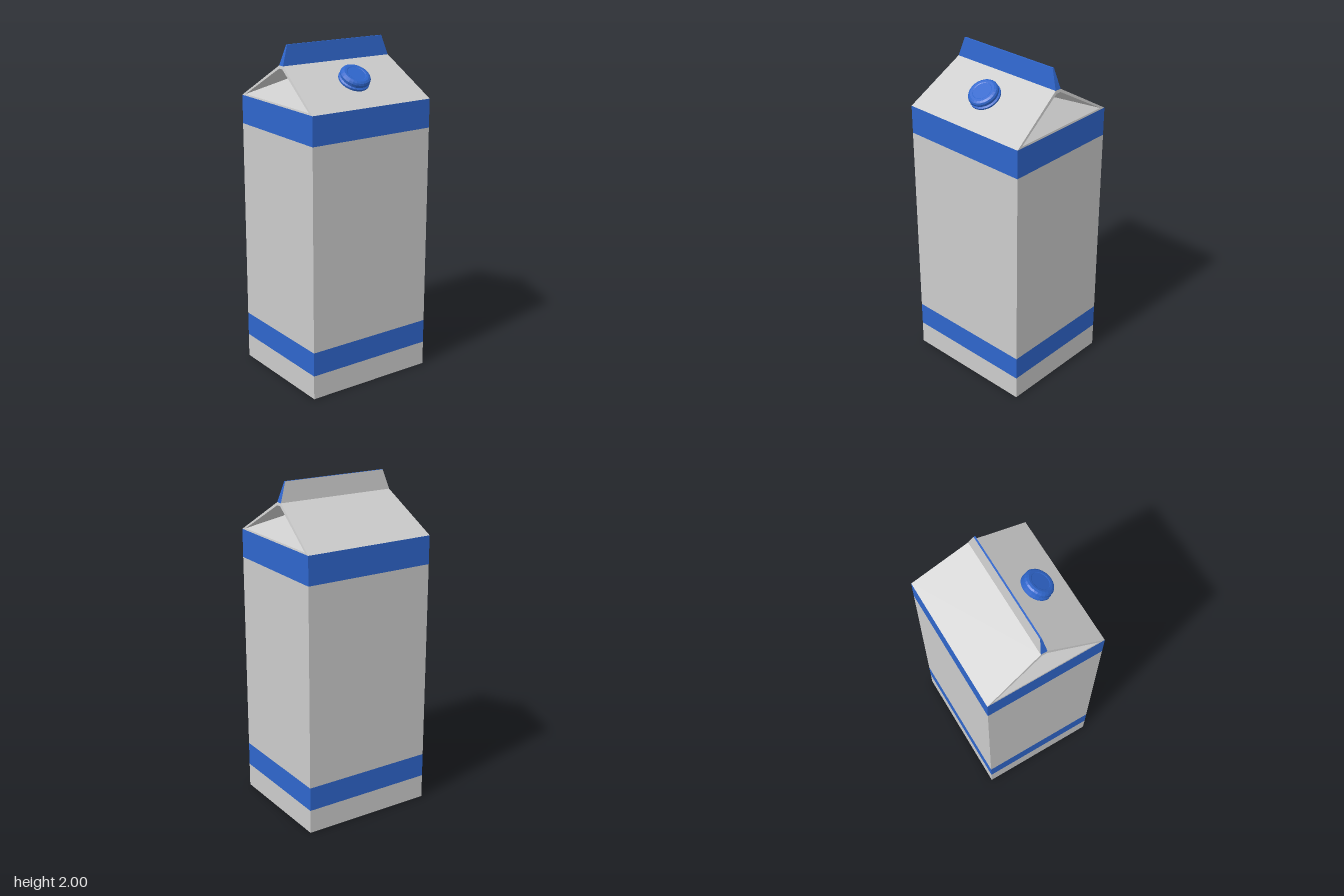
import * as THREE from 'three';

const HX = 0.363, HZ = 0.408;            // half width and depth of the carton
const EAVE = 1.67, RIDGE = 1.885, TOP = 2;
const RX = 0.02, RZ = 0.368;             // half size of the ridge

const paper = new THREE.MeshStandardMaterial({ color: 0xcccccc, side: THREE.DoubleSide });
const blue = new THREE.MeshStandardMaterial({ color: 0x2f66cc, side: THREE.DoubleSide });
const blueFlat = blue.clone();
blueFlat.flatShading = true;

// Flat-shaded mesh from four-cornered faces, each counter-clockwise from outside
function panels(name, material, quads) {
  const pos = quads.flatMap(([a, b, c, d]) => [a, b, c, a, c, d].flat());
  const geo = new THREE.BufferGeometry();
  geo.setAttribute('position', new THREE.Float32BufferAttribute(pos, 3));
  geo.computeVertexNormals();
  const mesh = new THREE.Mesh(geo, material);
  mesh.name = name;
  return mesh;
}

// Rectangle at height y, running +x side first
const ring = (hx, hz, y) => [[hx, y, hz], [hx, y, -hz], [-hx, y, -hz], [-hx, y, hz]];

// Faces joining two four-point loops
const loft = (a, b) => a.map((p, i) => {
  const j = (i + 1) % 4;
  return [p, a[j], b[j], b[i]];
});

// Half turn about the upright axis
const turn = (quad) => quad.map(([x, y, z]) => [-x, y, -z]);

function createModel() {
  const carton = new THREE.Group();
  carton.name = 'carton';

  // Walls in alternating paper and coloured bands
  const levels = [0, 0.145, 0.29, 1.5, EAVE];
  const names = ['lowerWall', 'lowerBand', 'mainWall', 'upperBand'];
  names.forEach((name, i) => {
    const quads = loft(ring(HX, HZ, levels[i]), ring(HX, HZ, levels[i + 1]));
    carton.add(panels(name, i % 2 ? blue : paper, quads));
  });
  carton.add(panels('base', blue, [ring(HX, HZ, 0).reverse()]));

  // Sloping roof panels
  const roof = loft(ring(HX, HZ, EAVE), ring(RX, RZ, RIDGE));
  carton.add(panels('roof', paper, [roof[0], roof[2]]));

  // Gable ends: a thin rim around a fold pushed inwards
  const outer = [[-HX, EAVE, HZ], [HX, EAVE, HZ], [RX, RIDGE, RZ], [-RX, RIDGE, RZ]];
  const inner = [[-0.325, 1.68, 0.406], [0.325, 1.68, 0.406], [0.016, 1.868, 0.371], [-0.016, 1.868, 0.371]];
  const fold = [[-0.01, 1.82, 0.26], [0.01, 1.82, 0.26], [0.01, 1.82, 0.26], [-0.01, 1.82, 0.26]];
  const gable = [...loft(outer, inner), ...loft(inner, fold)];
  carton.add(panels('frontGable', paper, gable));
  carton.add(panels('backGable', paper, gable.map(turn)));

  // Sealed fin along the ridge, with one plain side
  const finTop = ring(0.005, 0.33, TOP);
  const fin = loft(ring(RX, RZ, RIDGE), finTop);
  carton.add(panels('fin', blue, [fin[0], fin[1], fin[3], finTop]));
  carton.add(panels('finPlainSide', paper, [fin[2]]));

  // Screw cap standing square to the right-hand slope
  const profile = [
    [0.084, -0.004], [0.092, 0.004], [0.092, 0.014], [0.083, 0.02], [0.083, 0.025],
    [0.09, 0.03], [0.09, 0.042], [0.084, 0.052], [0.072, 0.058], [0.058, 0.058], [0.054, 0.056], [0, 0.056],
  ].map(([r, y]) => new THREE.Vector2(r, y));
  const cap = new THREE.Mesh(new THREE.LatheGeometry(profile, 24), blueFlat);
  cap.name = 'cap';
  const slope = (RIDGE - EAVE) / (HX - RX);
  const capX = 0.176;
  cap.position.set(capX, EAVE + slope * (HX - capX), 0);
  cap.rotation.z = -Math.atan(slope);
  carton.add(cap);

  return carton;
}

export { createModel };
